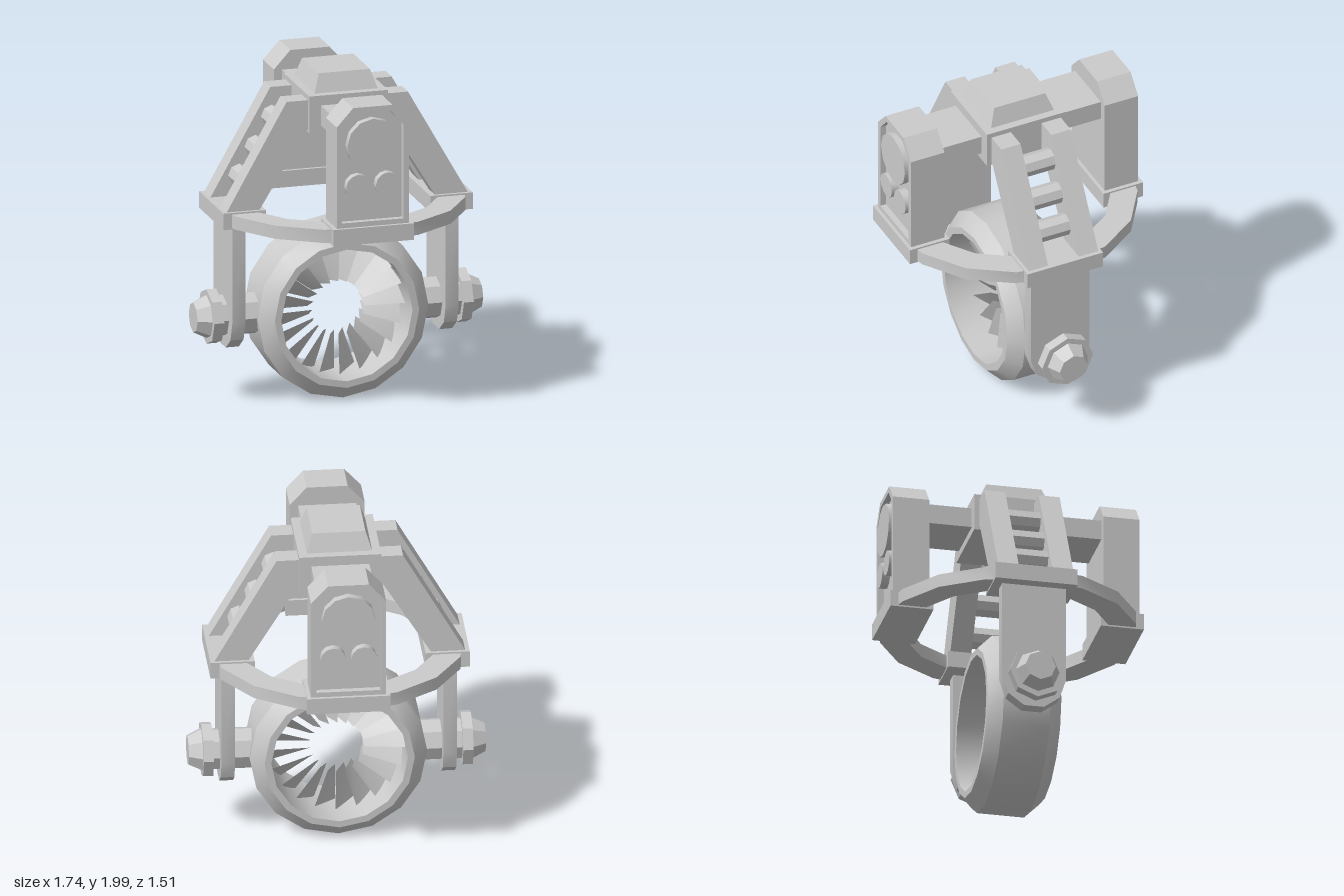
import * as THREE from 'three';
import { toCreasedNormals } from 'three/addons/utils/BufferGeometryUtils.js';

const grey = new THREE.MeshStandardMaterial({ color: 0xcccccc });
const greyThin = new THREE.MeshStandardMaterial({ color: 0xcccccc, side: THREE.DoubleSide });

function add(parent, name, geo, x = 0, y = 0, z = 0, mat = grey) {
  const mesh = new THREE.Mesh(toCreasedNormals(geo, 0.6), mat);
  mesh.name = name;
  mesh.position.set(x, y, z);
  parent.add(mesh);
  return mesh;
}

// Box given by its lower and upper corners
function block(parent, name, [x0, y0, z0], [x1, y1, z1]) {
  return add(parent, name, new THREE.BoxGeometry(x1 - x0, y1 - y0, z1 - z0),
    (x0 + x1) / 2, (y0 + y1) / 2, (z0 + z1) / 2);
}

const toShape = pts => new THREE.Shape(pts.map(p => new THREE.Vector2(...p)));
const extrude = (shape, depth) => new THREE.ExtrudeGeometry(shape, { depth, bevelEnabled: false });
const lathe = (pts, sides) => new THREE.LatheGeometry([...pts, pts[0]].map(p => new THREE.Vector2(...p)), sides);

// Upright outline with two clipped top corners
const clipped = (w, y0, y1, topW, shoulder) =>
  [[-w, y0], [w, y0], [w, shoulder], [topW, y1], [-topW, y1], [-w, shoulder]];

const AXLE_Y = 0.53;

// Ring of pitched blades around the open centre
function bladeGeometry(count) {
  const pos = [];
  const step = (Math.PI * 2) / count;
  const at = (r, a, z) => [r * Math.cos(a), r * Math.sin(a), z];
  for (let i = 0; i < count; i++) {
    const a = i * step, b = a + step * 1.08;
    const p = at(0.16, a, 0.05), q = at(0.4, a, 0.07);
    const r = at(0.4, b, -0.07), s = at(0.16, b, -0.05);
    pos.push(...p, ...q, ...r, ...p, ...r, ...s);
  }
  const geo = new THREE.BufferGeometry();
  geo.setAttribute('position', new THREE.Float32BufferAttribute(pos, 3));
  return geo;
}

function makeTurbine() {
  const g = new THREE.Group();
  g.name = 'turbine';
  g.position.y = AXLE_Y;
  const shell = lathe([[0.4, -0.22], [0.44, -0.22], [0.52, -0.14], [0.52, 0.14], [0.44, 0.22], [0.4, 0.22]], 16);
  add(g, 'turbineShell', shell.rotateX(Math.PI / 2));
  add(g, 'turbineBlades', bladeGeometry(20), 0, 0, 0, greyThin);
  return g;
}

// One side, built towards +x: pivot, hanger, foot pad and ladder strut
function makeSide(name) {
  const g = new THREE.Group();
  g.name = name;
  const pin = (part, x0, x1, r0, r1) => add(g, part,
    new THREE.CylinderGeometry(r1, r0, x1 - x0, 8).rotateZ(-Math.PI / 2), (x0 + x1) / 2, AXLE_Y);
  pin('axle', 0.48, 0.74, 0.125, 0.125);
  pin('axleFlange', 0.73, 0.79, 0.165, 0.165);
  pin('axleCap', 0.79, 0.87, 0.13, 0.09);

  // Hanger plate with a faceted round end
  const outline = [[0.19, 1.14], [-0.19, 1.14]];
  for (let i = 0; i <= 5; i++) {
    const a = Math.PI + (i * Math.PI) / 5;
    outline.push([0.19 * Math.cos(a), AXLE_Y + 0.19 * Math.sin(a)]);
  }
  add(g, 'hangerPlate', extrude(toShape(outline), 0.08).rotateY(Math.PI / 2), 0.61);
  block(g, 'sidePad', [0.5, 1.12, -0.245], [0.76, 1.22, 0.245]);

  // Twin slanted rails with rungs
  const rail = toShape([[0.54, 1.21], [0.74, 1.21], [0.37, 1.86], [0.2, 1.86], [0.2, 1.69], [0.255, 1.675]]);
  for (const z of [-0.225, 0.1]) add(g, 'strutRail', extrude(rail, 0.125), 0, 0, z);
  for (const [x, y] of [[0.36, 1.685], [0.46, 1.51], [0.56, 1.345]]) {
    add(g, 'strutRung', new THREE.CylinderGeometry(0.067, 0.067, 0.24, 8).rotateX(Math.PI / 2), x, y);
  }
  return g;
}

// One lamp tower, built towards +z
function makeTower(name) {
  const g = new THREE.Group();
  g.name = name;
  block(g, 'towerPad', [-0.245, 1.12, 0.5], [0.245, 1.22, 0.757]);
  block(g, 'towerBeam', [-0.17, 1.71, 0.2], [0.17, 1.83, 0.54]);
  const outer = clipped(0.22, 1.21, 1.945, 0.12, 1.835);
  add(g, 'towerBody', extrude(toShape(outer), 0.18), 0, 0, 0.52);
  const rim = toShape(outer);
  rim.holes.push(toShape(clipped(0.187, 1.25, 1.912, 0.105, 1.82)));
  add(g, 'towerRim', extrude(rim, 0.037), 0, 0, 0.7);
  for (const [part, x, y, r] of [['mainLamp', 0, 1.715, 0.158],
    ['smallLamp', -0.09, 1.465, 0.075], ['smallLamp', 0.09, 1.465, 0.075]]) {
    add(g, part, new THREE.CylinderGeometry(r, r, 0.06, 12).rotateX(Math.PI / 2), x, y, 0.717);
  }
  return g;
}

export function createModel() {
  const model = new THREE.Group();
  model.name = 'gimbalTurbine';
  model.add(makeTurbine());

  // Ring carrying the four pads
  add(model, 'supportRing', lathe([[0.6, 1.13], [0.757, 1.13], [0.757, 1.21], [0.6, 1.21]], 16));

  // Central hub with tapered cap
  block(model, 'hub', [-0.24, 1.665, -0.255], [0.24, 1.89, 0.255]);
  const cap = new THREE.BoxGeometry(0.39, 0.12, 0.415);
  const p = cap.attributes.position;
  for (let i = 0; i < p.count; i++) {
    if (p.getY(i) > 0) p.setXYZ(i, p.getX(i) * 0.8, p.getY(i), p.getZ(i) * 0.8);
  }
  add(model, 'hubCap', cap, 0, 1.94, 0);

  const leftSide = makeSide('leftSide'), rightSide = makeSide('rightSide');
  rightSide.rotation.y = Math.PI;
  const frontTower = makeTower('frontTower'), backTower = makeTower('backTower');
  backTower.rotation.y = Math.PI;
  model.add(leftSide, rightSide, frontTower, backTower);
  return model;
}
